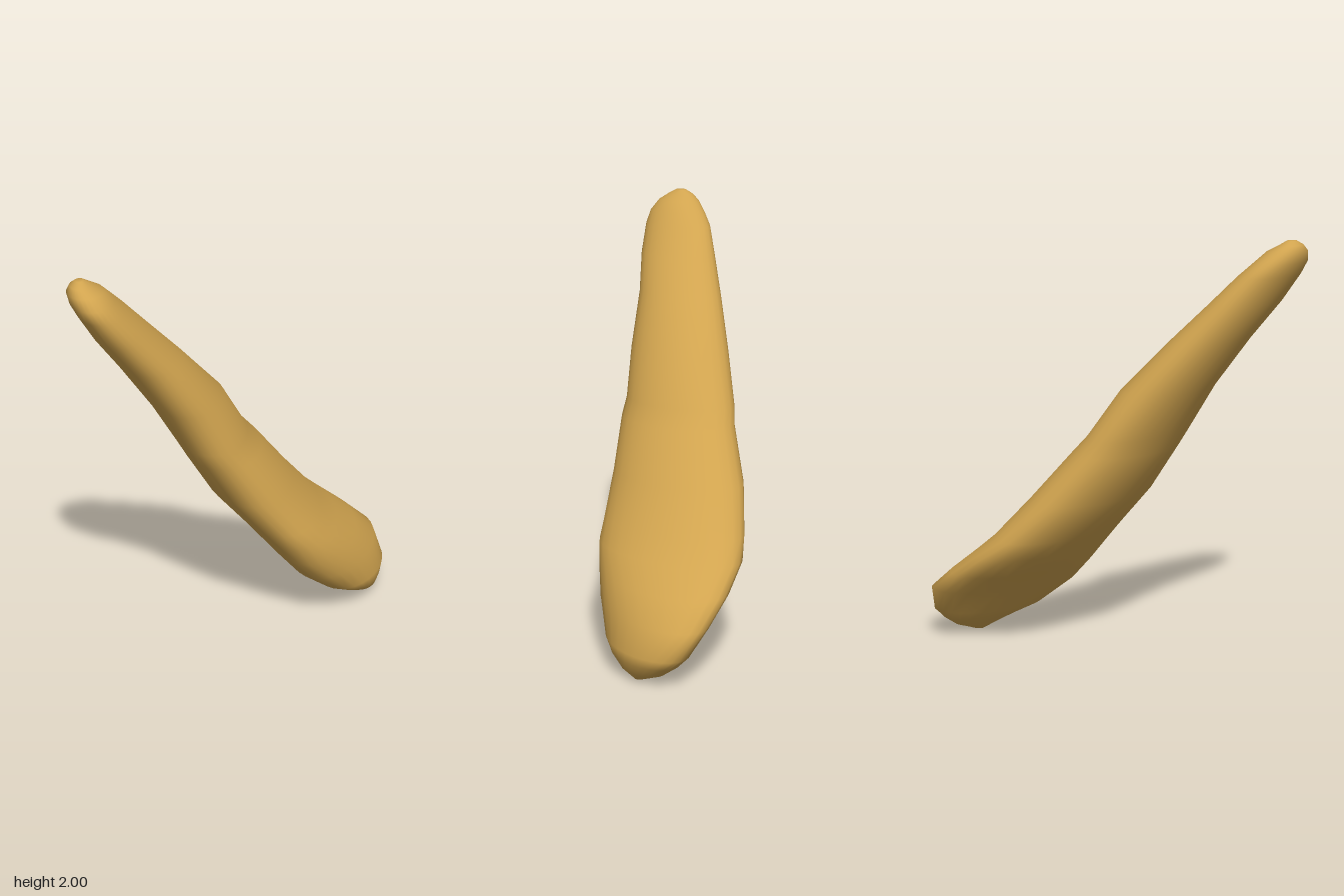
import * as THREE from 'three';

// Level cross-sections from bottom to top: y, xMin, xMax, zMin, zMax, skew
const SECTIONS = [
  [0.00, 0.62, 0.69, -0.31, -0.25, 0],
  [0.04, 0.565, 0.73, -0.41, -0.165, -0.2],
  [0.09, 0.49, 0.75, -0.48, -0.08, -0.3],
  [0.14, 0.41, 0.765, -0.53, -0.01, -0.4],
  [0.27, 0.275, 0.72, -0.59, 0.105, -0.45],
  [0.38, 0.17, 0.61, -0.59, 0.16, -0.25],
  [0.49, 0.07, 0.50, -0.565, 0.21, -0.05],
  [0.58, 0.00, 0.41, -0.517, 0.235, 0],
  [0.77, -0.15, 0.267, -0.41, 0.285, 0],
  [1.00, -0.27, 0.11, -0.265, 0.34, 0],
  [1.08, -0.31, 0.04, -0.23, 0.355, 0],
  [1.30, -0.425, -0.07, -0.115, 0.405, 0],
  [1.54, -0.565, -0.26, 0.04, 0.48, 0],
  [1.71, -0.665, -0.40, 0.155, 0.56, 0],
  [1.84, -0.73, -0.51, 0.24, 0.60, 0],
  [1.90, -0.758, -0.56, 0.30, 0.60, 0],
  [1.95, -0.77, -0.605, 0.355, 0.57, 0],
  [1.98, -0.755, -0.66, 0.40, 0.53, 0],
  [2.00, -0.73, -0.69, 0.44, 0.49, 0],
];
const SIDES = 28;

// Skin skewed elliptical rings into one closed smooth surface
function loft(sections, sides) {
  const positions = [];
  const index = [];
  for (const [y, x0, x1, z0, z1, skew] of sections) {
    const across = Math.sqrt(1 - skew * skew);
    for (let i = 0; i < sides; i++) {
      const t = (i / sides) * Math.PI * 2;
      positions.push(
        (x0 + x1) / 2 + ((x1 - x0) / 2) * Math.cos(t),
        y,
        (z0 + z1) / 2 + ((z1 - z0) / 2) * (skew * Math.cos(t) + across * Math.sin(t))
      );
    }
  }
  const last = sections.length - 1;
  for (let j = 0; j < last; j++) {
    for (let i = 0; i < sides; i++) {
      const n = (i + 1) % sides;
      const a = j * sides + i, b = j * sides + n;
      const c = a + sides, d = b + sides;
      index.push(a, c, b, b, c, d);
    }
  }
  // Small end caps
  for (let i = 1; i < sides - 1; i++) {
    index.push(0, i, i + 1);
    index.push(last * sides, last * sides + i + 1, last * sides + i);
  }
  const geometry = new THREE.BufferGeometry();
  geometry.setAttribute('position', new THREE.Float32BufferAttribute(positions, 3));
  geometry.setIndex(index);
  geometry.computeVertexNormals();
  return geometry;
}

export function createModel() {
  const group = new THREE.Group();
  group.name = 'slantedPod';

  const ochre = new THREE.MeshStandardMaterial({ color: 0xd1a44f });
  ochre.name = 'ochre';

  // Tapered leaning body
  const body = new THREE.Mesh(loft(SECTIONS, SIDES), ochre);
  body.name = 'podBody';
  group.add(body);

  return group;
}
